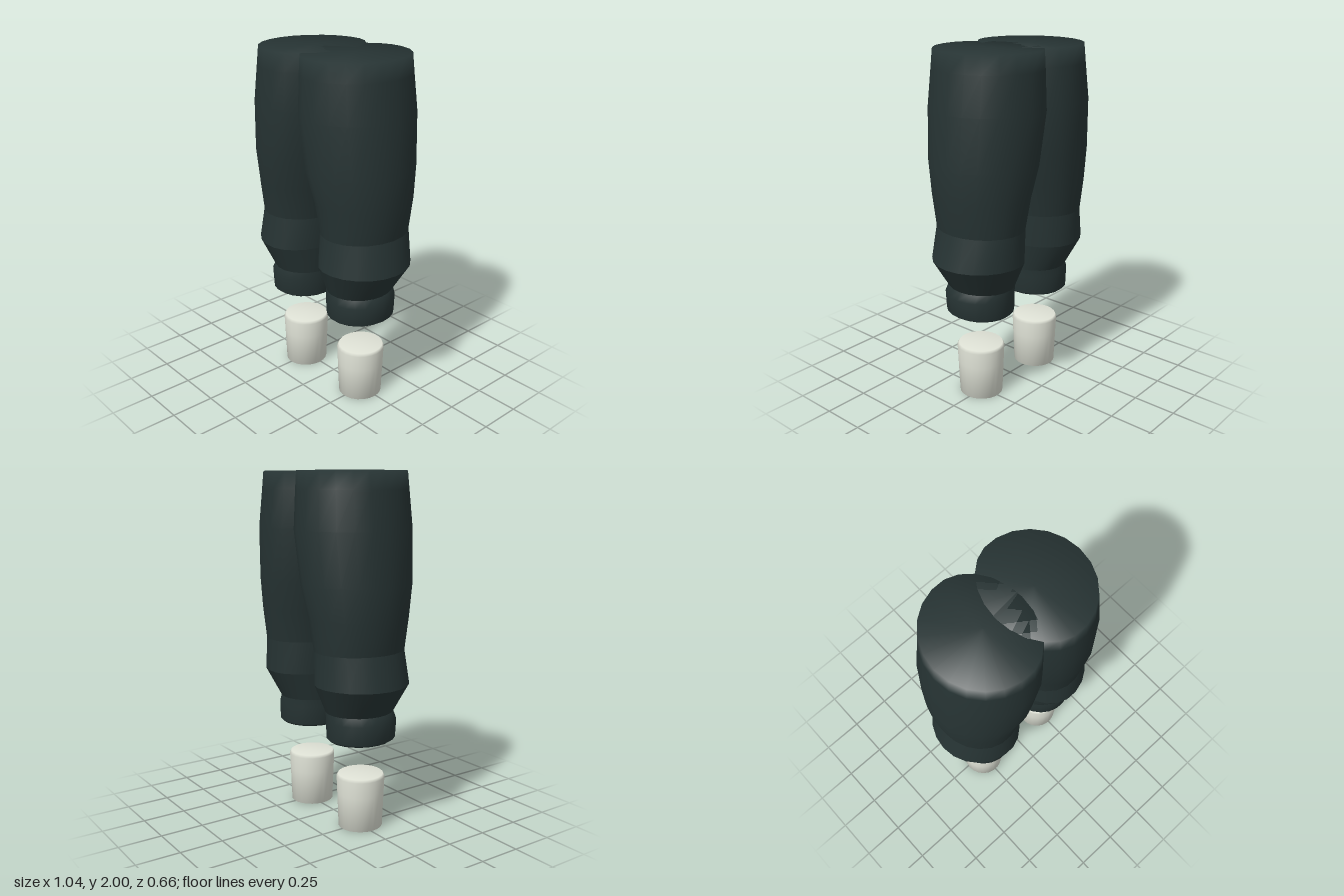
import * as THREE from 'three';

const SIDES = 22;

// Rings are [y, inner x, centre x, outer x, front z, back z], from bottom to top.
// Shared cap corners keep the ends softly shaded.
function loft(rings, side, capBottom, capTop) {
  const pos = [], index = [];
  for (const [y, inner, mid, outer, front, back] of rings) {
    const zc = (front + back) / 2, zr = (front - back) / 2;
    for (let i = 0; i < SIDES; i++) {
      const a = (i / SIDES) * Math.PI * 2;
      const c = Math.cos(a);
      const r = c * side > 0 ? outer - mid : mid - inner;
      pos.push(side * mid + c * r, y, zc + Math.sin(a) * zr);
    }
  }
  for (let k = 0; k < rings.length - 1; k++) {
    for (let i = 0; i < SIDES; i++) {
      const a = k * SIDES + i, b = k * SIDES + (i + 1) % SIDES;
      index.push(a, a + SIDES, b, b, a + SIDES, b + SIDES);
    }
  }
  const cap = (k, up) => {
    const [y, , mid, , front, back] = rings[k];
    const centre = pos.length / 3;
    pos.push(side * mid, y, (front + back) / 2);
    for (let i = 0; i < SIDES; i++) {
      const a = k * SIDES + i, b = k * SIDES + (i + 1) % SIDES;
      if (up) index.push(centre, b, a);
      else index.push(centre, a, b);
    }
  };
  if (capBottom) cap(0, false);
  if (capTop) cap(rings.length - 1, true);
  const geo = new THREE.BufferGeometry();
  geo.setAttribute('position', new THREE.Float32BufferAttribute(pos, 3));
  geo.setIndex(index);
  geo.computeVertexNormals();
  return geo;
}

// Outline of one trouser leg
const ankle = [0.68, 0.055, 0.235, 0.415, 0.21, -0.185];
const bulge = [0.845, 0.035, 0.25, 0.52, 0.28, -0.265];
const knee = [1.035, 0.027, 0.25, 0.48, 0.26, -0.265];
const cuffRings = [
  [0.515, 0.075, 0.245, 0.41, 0.195, -0.168],
  [0.53, 0.06, 0.245, 0.432, 0.215, -0.185],
  [0.635, 0.057, 0.245, 0.438, 0.22, -0.187],
  ankle,
];
const thighRings = [
  knee,
  [1.22, 0.0, 0.235, 0.505, 0.285, -0.29],
  [1.4, -0.045, 0.2, 0.514, 0.318, -0.316],
  [1.69, -0.08, 0.165, 0.5, 0.335, -0.335],
  [1.9, -0.083, 0.16, 0.47, 0.322, -0.32],
  [2.0, -0.083, 0.16, 0.457, 0.314, -0.312],
];
const footRings = [
  [0, 0.127, 0.25, 0.373, 0.14, -0.115],
  [0.2, 0.119, 0.25, 0.381, 0.148, -0.123],
  [0.295, 0.115, 0.25, 0.385, 0.152, -0.127],
  [0.312, 0.125, 0.25, 0.376, 0.142, -0.118],
];

export function createModel() {
  const model = new THREE.Group();
  model.name = 'trousersAndFeet';
  const cloth = new THREE.MeshStandardMaterial({ color: 0x263333 });
  cloth.name = 'dark cloth';
  const pale = new THREE.MeshStandardMaterial({ color: 0xdfe2d6 });
  pale.name = 'pale foot';

  for (const side of [1, -1]) {
    const label = side > 0 ? 'left' : 'right';
    const leg = new THREE.Group();
    leg.name = label + 'Leg';
    const add = (name, rings, mat, bottom = false, top = false) => {
      const mesh = new THREE.Mesh(loft(rings, side, bottom, top), mat);
      mesh.name = label + name;
      leg.add(mesh);
    };
    // Separate bands keep the folds crisp
    add('Thigh', thighRings, cloth, false, true);
    add('UpperFold', [bulge, knee], cloth);
    add('LowerFold', [ankle, bulge], cloth);
    add('Cuff', cuffRings, cloth, true);
    // Detached foot stump
    add('Foot', footRings, pale, true, true);
    model.add(leg);
  }
  return model;
}
